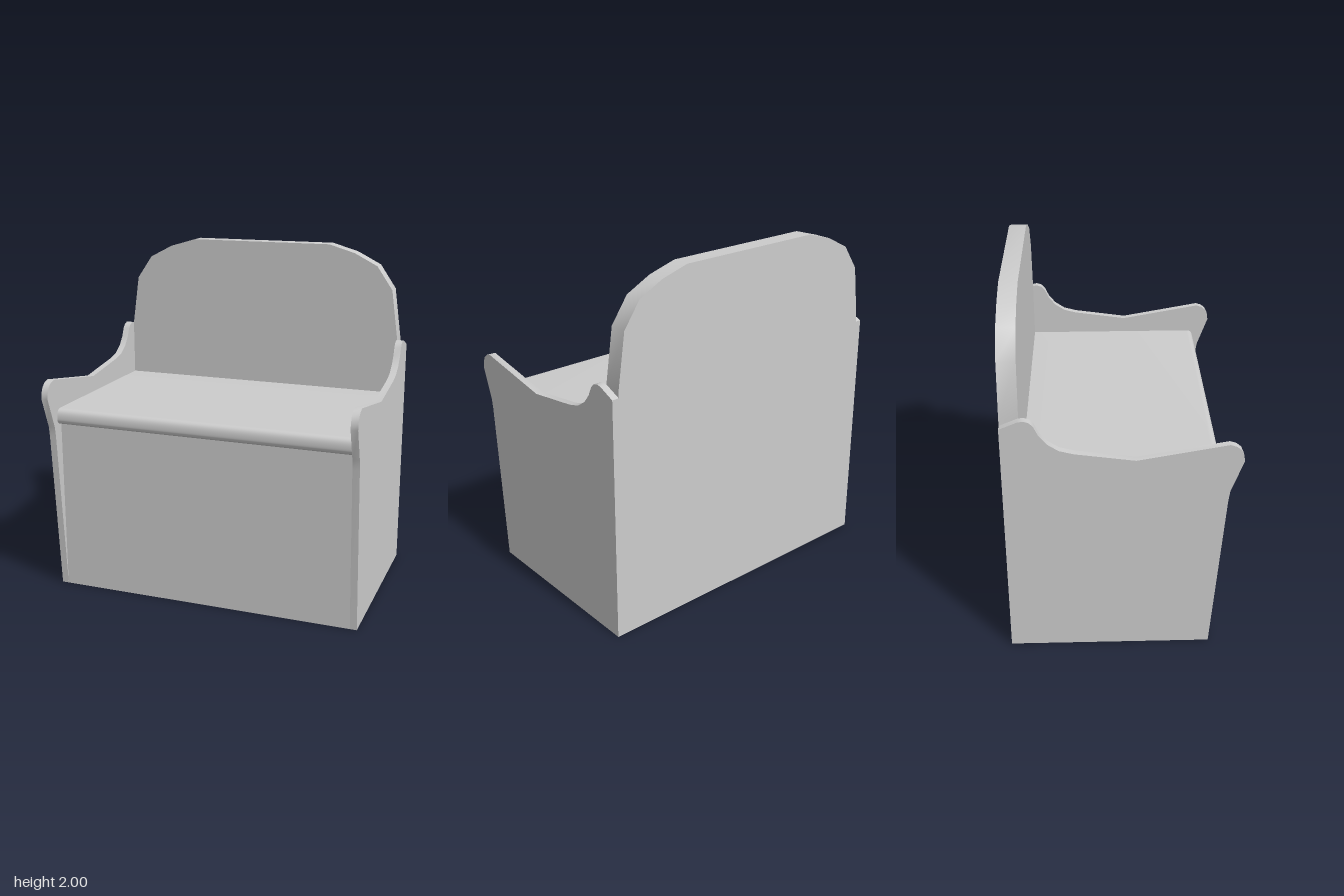
import * as THREE from 'three';
import { toCreasedNormals } from 'three/addons/utils/BufferGeometryUtils.js';

const material = new THREE.MeshStandardMaterial({ color: 0xcccccc });
const INNER = 0.88;   // half width between the side panels
const PANEL = 0.04;   // side panel thickness
const BACK = -0.625;  // rear face

function shapeFrom(points) {
  return new THREE.Shape(points.map(([a, b]) => new THREE.Vector2(a, b)));
}

function extrude(shape, depth) {
  return new THREE.ExtrudeGeometry(shape, { depth, bevelEnabled: false, curveSegments: 8 });
}

// Extrudes a (z, y) profile across x, from xMin to xMax
function extrudeAcross(shape, xMin, xMax) {
  return extrude(shape, xMax - xMin).rotateY(-Math.PI / 2).translate(xMax, 0, 0);
}

function part(name, geometry) {
  const mesh = new THREE.Mesh(toCreasedNormals(geometry, 0.7), material);
  mesh.name = name;
  return mesh;
}

export function createModel() {
  const bench = new THREE.Group();
  bench.name = 'storageBench';

  // Side panels with a rounded armrest nose and a swept rise to the back
  const side = shapeFrom([
    [BACK, 0], [0.487, 0], [0.555, 0.95], [0.563, 1.01], [0.628, 1.19],
    [0.624, 1.225], [0.61, 1.257], [0.585, 1.279], [0.55, 1.29],
    [0.07, 1.205], [-0.25, 1.25], [-0.325, 1.27], [-0.385, 1.31], [-0.425, 1.36],
    [-0.45, 1.413], [-0.47, 1.435], [-0.5, 1.445], [-0.53, 1.44], [BACK, 1.4],
  ]);
  bench.add(part('leftSidePanel', extrudeAcross(side, INNER, INNER + PANEL)));
  bench.add(part('rightSidePanel', extrudeAcross(side, -INNER - PANEL, -INNER)));

  // Backrest with a faceted arched top
  const arch = [[INNER, 0], [INNER, 1.44], [0.838, 1.74], [0.742, 1.88], [0.6, 1.953], [0.44, 2]];
  const mirrored = arch.map(([x, y]) => [-x, y]).reverse();
  bench.add(part('backrest', extrude(shapeFrom([...arch, ...mirrored]), 0.1).translate(0, 0, BACK)));

  // Closed chest below the seat
  const chest = new THREE.BoxGeometry(2 * INNER, 1.02, 1.012);
  bench.add(part('chest', chest.translate(0, 0.51, -0.019)));

  // Seat lid with a rounded front edge
  const lid = new THREE.Shape();
  lid.moveTo(-0.525, 1.018);
  lid.lineTo(0.5, 1.018);
  lid.quadraticCurveTo(0.53, 1.018, 0.53, 1.055);
  lid.quadraticCurveTo(0.53, 1.11, 0.49, 1.11);
  lid.lineTo(-0.525, 1.11);
  lid.closePath();
  bench.add(part('seatLid', extrudeAcross(lid, -INNER, INNER)));

  return bench;
}
